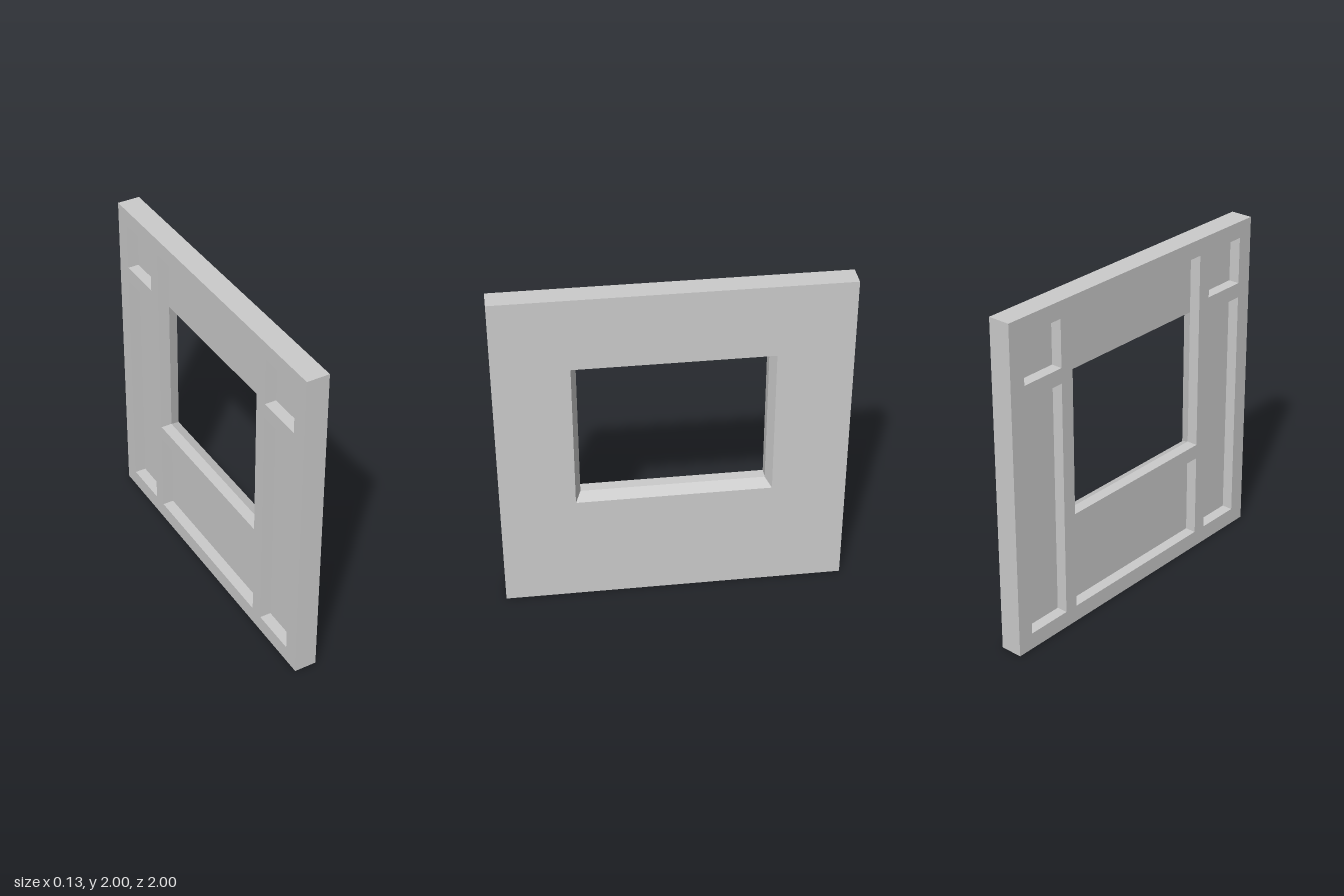
import * as THREE from 'three';

const HALF = 0.067; // half the wall thickness
const material = new THREE.MeshStandardMaterial({ color: 0xcccccc, flatShading: true });

// Closed rectangle path, x0..x1 by y0..y1
function rect(PathType, x0, x1, y0, y1) {
  const p = new PathType();
  p.moveTo(x0, y0);
  p.lineTo(x1, y0);
  p.lineTo(x1, y1);
  p.lineTo(x0, y1);
  p.closePath();
  return p;
}

// Full-size 2 x 2 slab with rectangular holes, extruded along z
function slab(holes) {
  const shape = rect(THREE.Shape, -1, 1, 0, 2);
  for (const h of holes) shape.holes.push(rect(THREE.Path, ...h));
  return new THREE.ExtrudeGeometry(shape, { depth: HALF, bevelEnabled: false });
}

export function createModel() {
  const wall = new THREE.Group();
  wall.name = 'windowWallPanel';

  // Smooth outer sheet: the window reveal narrows towards the framing
  const sheet = slab([[-0.567, 0.567, 0.667, 1.567]]);
  const pos = sheet.attributes.position;
  for (let i = 0; i < pos.count; i++) {
    const x = pos.getX(i);
    if (Math.abs(x) < 0.9 && pos.getZ(i) < HALF / 2) {
      pos.setX(i, Math.sign(x) * 0.535);
      pos.setY(i, pos.getY(i) < 1 ? 0.7 : 1.537);
    }
  }
  sheet.computeVertexNormals();
  sheet.rotateY(Math.PI / 2);
  const sheetMesh = new THREE.Mesh(sheet, material);
  sheetMesh.name = 'outerSheet';
  wall.add(sheetMesh);

  // Stud and rail framing behind the sheet, with open bays
  const bays = [
    [-0.535, 0.535, 0.1, 0.61], // below the window
    [-0.535, 0.535, 0.7, 1.9], // window and the panel above it
  ];
  for (const [a, b] of [[-0.9, -0.62], [0.62, 0.9]]) {
    bays.push([a, b, 0.1, 1.53], [a, b, 1.62, 1.9]);
  }
  const framing = slab(bays);
  framing.rotateY(Math.PI / 2).translate(-HALF, 0, 0);
  const framingMesh = new THREE.Mesh(framing, material);
  framingMesh.name = 'studFraming';
  wall.add(framingMesh);

  return wall;
}
